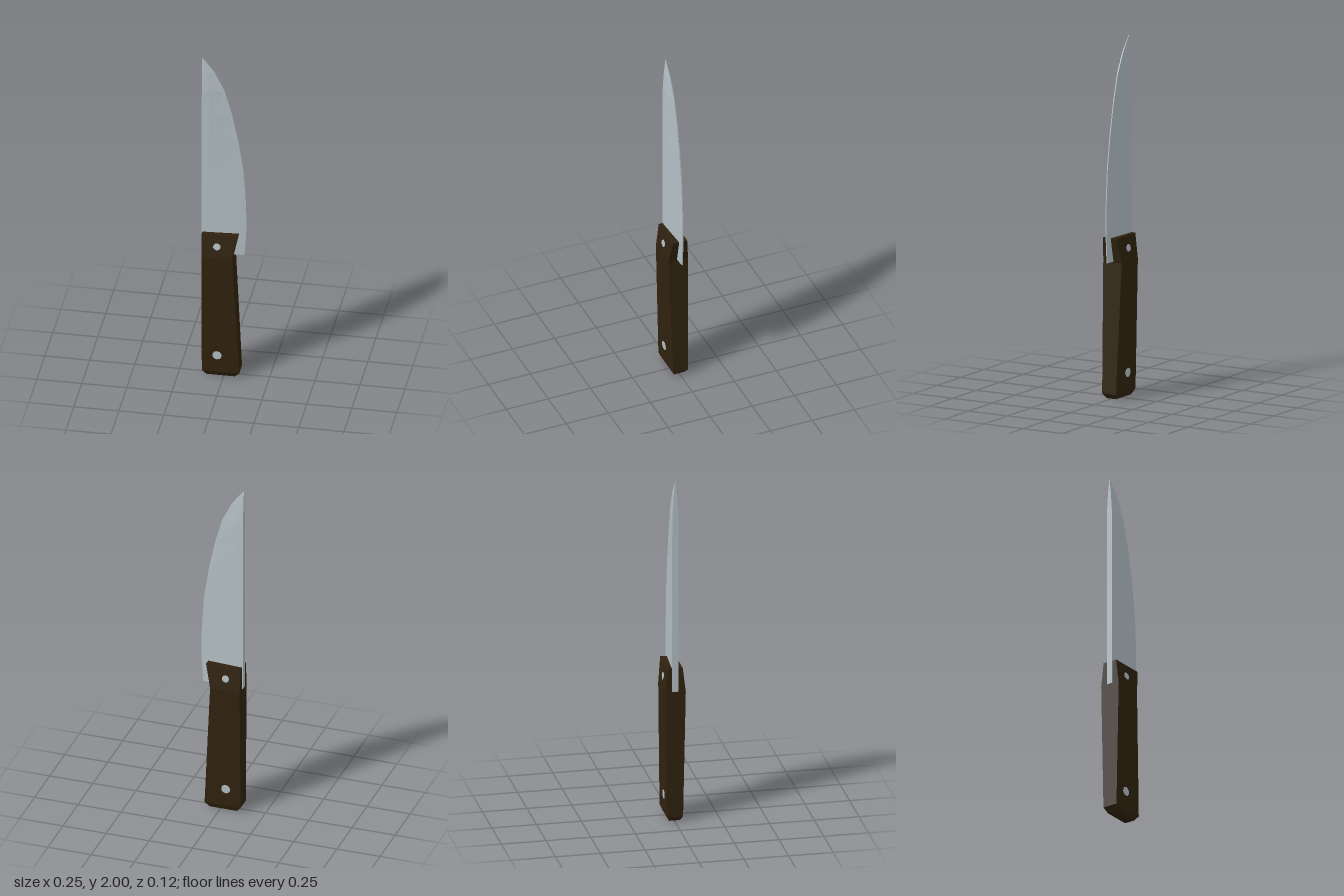
import * as THREE from 'three';

const steel = new THREE.MeshStandardMaterial({ color: 0xb2bec4 });
steel.name = 'steel';
const wood = new THREE.MeshStandardMaterial({ color: 0x30220f });
wood.name = 'dark wood';

// Flat-faced solid through rings of [x, y, z], listed from bottom to top
function loft(rings) {
  const n = rings[0].length, index = [];
  for (let r = 0; r < rings.length - 1; r++) {
    for (let i = 0; i < n; i++) {
      const j = (i + 1) % n, a = r * n + i, b = r * n + j;
      index.push(a, b, b + n, a, b + n, a + n);
    }
  }
  const top = (rings.length - 1) * n;
  for (let i = 1; i < n - 1; i++) {
    index.push(0, i + 1, i, top, top + i, top + i + 1);
  }
  const indexed = new THREE.BufferGeometry();
  indexed.setAttribute('position', new THREE.Float32BufferAttribute(rings.flat(2), 3));
  indexed.setIndex(index);
  const geometry = indexed.toNonIndexed();
  geometry.computeVertexNormals();
  return geometry;
}

function addMesh(group, name, geometry, material) {
  const mesh = new THREE.Mesh(geometry, material);
  mesh.name = name;
  group.add(mesh);
  return mesh;
}

export function createModel() {
  const group = new THREE.Group();
  group.name = 'kitchenKnife';

  // Blade: straight thick spine, curved cutting edge; [y, edge x, half thickness]
  const spine = -0.125;
  const bladeRows = [
    [0.765, 0.11, 0.018], [0.93, 0.121, 0.018], [1.08, 0.119, 0.018],
    [1.29, 0.106, 0.018], [1.48, 0.077, 0.018], [1.65, 0.042, 0.018],
    [1.8, 0, 0.017], [1.91, -0.054, 0.01], [2, -0.123, 0.001],
  ];
  addMesh(group, 'blade', loft(bladeRows.map(([y, edge, t]) => {
    const ridge = Math.min(-0.085, spine + (edge - spine) * 0.35);
    const e = Math.min(0.003, t);
    return [
      [spine, y, t], [ridge, y, t * 0.92], [edge, y, e],
      [edge, y, -e], [ridge, y, -t * 0.92], [spine, y, -t],
    ];
  })), steel);

  // Handle: chamfered butt, widening to a shoulder; [y, back x, front x, half depth]
  const handleRows = [
    [0, -0.095, 0.062, 0.03], [0.03, -0.12, 0.088, 0.044],
    [0.76, -0.12, 0.051, 0.059], [0.9, -0.121, 0.08, 0.042],
  ];
  addMesh(group, 'handle', loft(handleRows.map(([y, x0, x1, d]) => [
    [x0, y, d], [x1, y, d], [x1, y, -d], [x0, y, -d],
  ])), wood);

  // Rivets on both faces, tilted to lie on the handle; [name, y, z, radius, tilt]
  const rivets = [['upperRivet', 0.83, 0.0505, 0.021, 0.12], ['lowerRivet', 0.135, 0.0462, 0.026, -0.02]];
  for (const [name, y, z, radius, tilt] of rivets) {
    for (const side of [1, -1]) {
      const rivet = addMesh(group, name, new THREE.CylinderGeometry(radius, radius, 0.006, 10), steel);
      rivet.position.set(-0.035, y, side * (z - 0.001));
      rivet.rotation.x = side * (Math.PI / 2 - tilt);
    }
  }
  return group;
}
